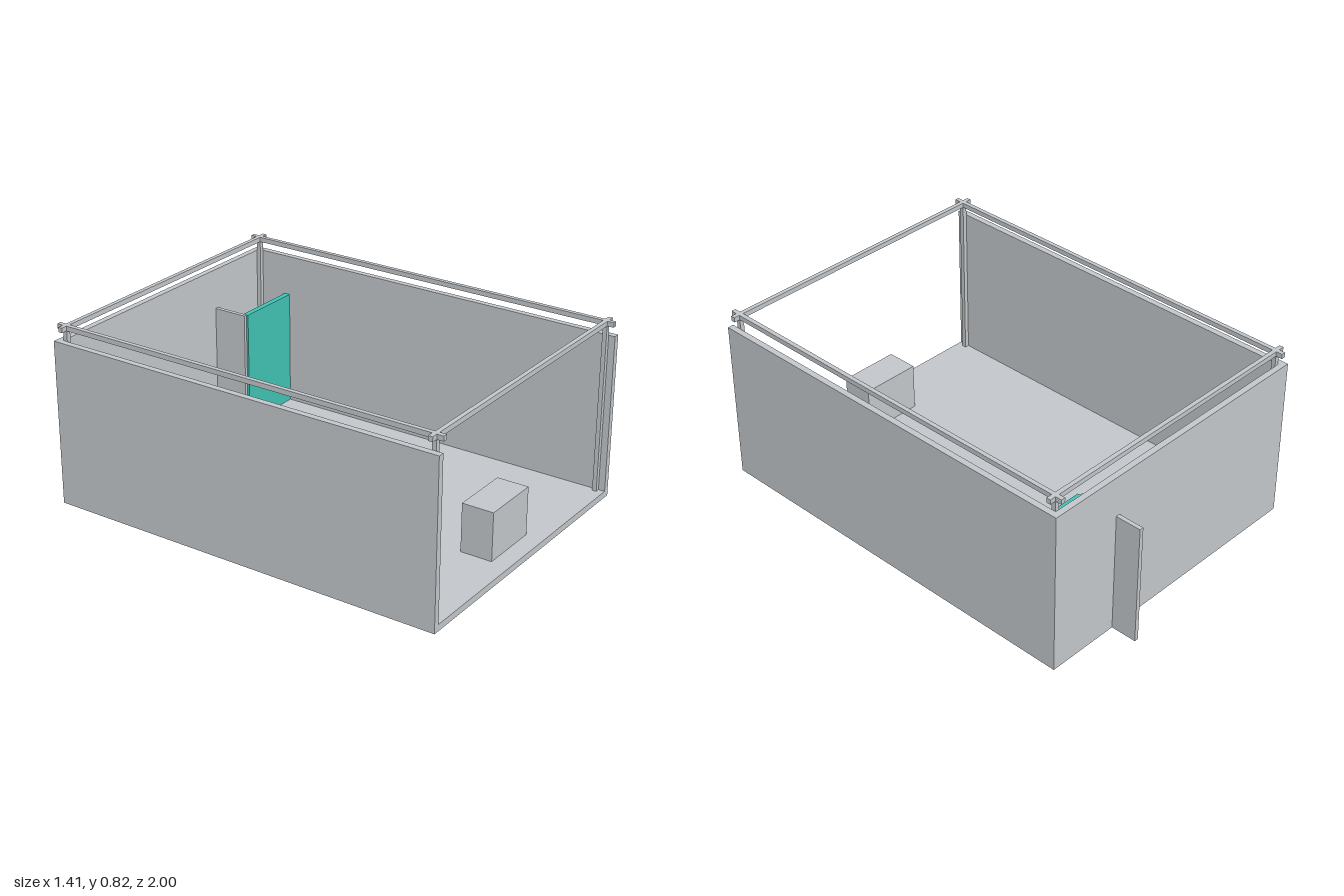
import * as THREE from 'three';

export function createModel() {
  const model = new THREE.Group();
  model.name = 'openRoom';

  const grey = new THREE.MeshStandardMaterial({ color: 0xc2c6ca });
  grey.name = 'light grey';
  const teal = new THREE.MeshStandardMaterial({ color: 0x40c1b3 });
  teal.name = 'teal';

  // Box given by its extents along each axis
  function box(name, [x0, x1], [y0, y1], [z0, z1], material = grey) {
    const mesh = new THREE.Mesh(new THREE.BoxGeometry(x1 - x0, y1 - y0, z1 - z0), material);
    mesh.position.set((x0 + x1) / 2, (y0 + y1) / 2, (z0 + z1) / 2);
    mesh.name = name;
    model.add(mesh);
  }

  const half = 0.703, inner = 0.675, back = -0.88, front = 1;
  const floorTop = 0.03, wallTop = 0.753, railBottom = 0.8, railTop = 0.822;
  const bar = 0.02;

  // Floor and three walls, open at the front
  box('floor', [-half, half], [0, floorTop], [back, front]);
  box('backWall', [-inner, inner], [floorTop, wallTop], [back, back + 0.028]);
  box('leftWall', [inner, half], [floorTop, wallTop], [back, front]);
  box('rightWall', [-half, -inner], [floorTop, wallTop], [back, front]);

  // Corner posts carrying rails that cross at the corners
  const barX = [[-inner, -inner + bar], [inner - bar, inner]];
  const barZ = [[back + 0.03, back + 0.03 + bar], [0.95, 0.95 + bar]];
  for (const x of barX) {
    for (const z of barZ) box('cornerPost', x, [floorTop, railBottom], z);
    box('sideRail', x, [railBottom, railTop], [back, front]);
  }
  for (const z of barZ) box('crossRail', [-half, half], [railBottom, railTop], z);

  // Block standing on the floor near the open front
  box('block', [-0.14, 0.14], [floorTop, 0.252], [0.77, 0.917]);

  // Corner partition: open door passing through the back wall, and a teal panel
  box('door', [0.34, 0.359], [0, 0.565], [-1, -0.688]);
  box('tealPanel', [0.355, inner], [0.001, 0.566], [-0.705, -0.678], teal);

  return model;
}
